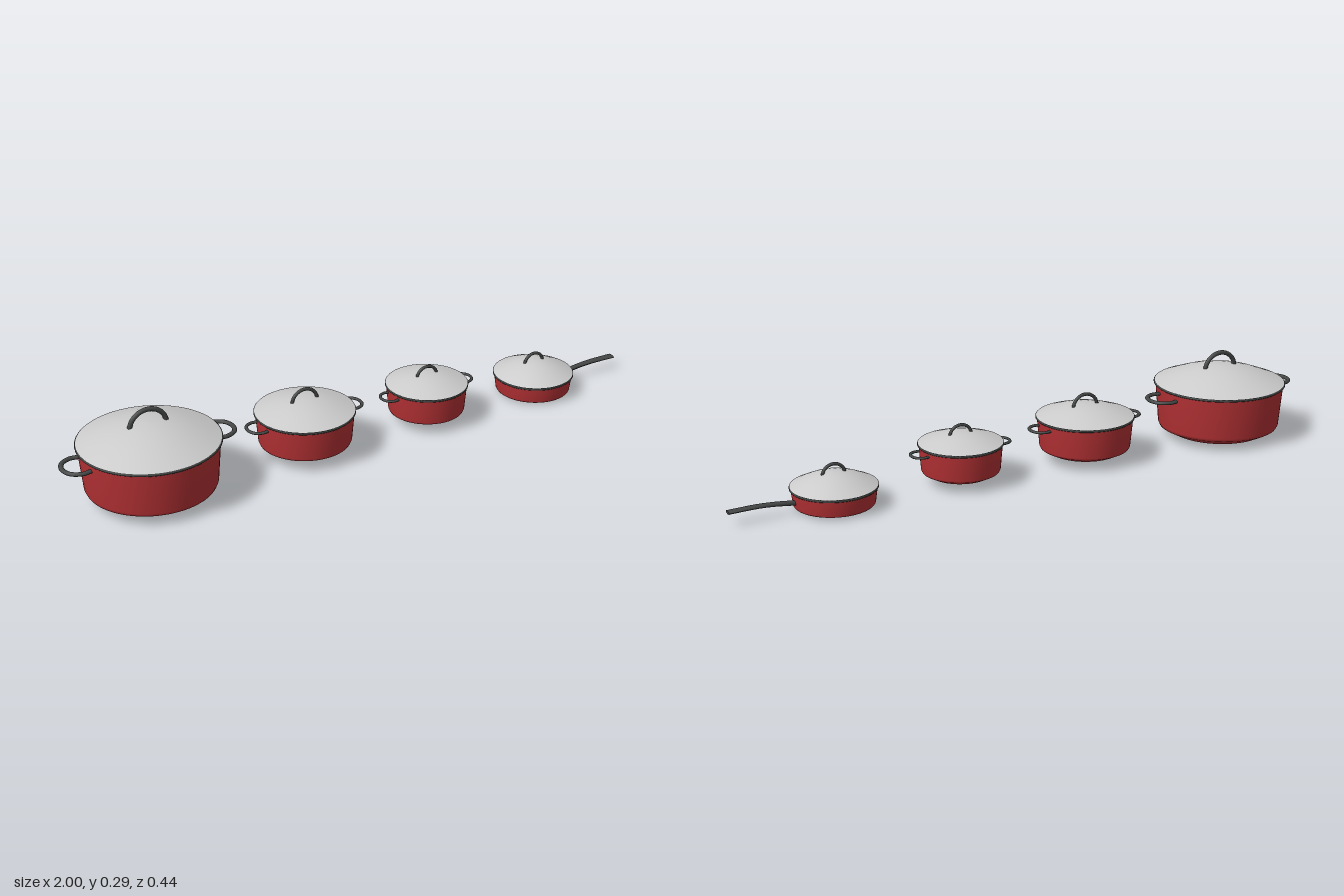
import * as THREE from 'three';

const red = new THREE.MeshStandardMaterial({ color: 0xb03033, side: THREE.DoubleSide });
const grey = new THREE.MeshStandardMaterial({ color: 0xcccccc, side: THREE.DoubleSide });
const dark = new THREE.MeshStandardMaterial({ color: 0x444646 });

function add(parent, name, geometry, material) {
  const mesh = new THREE.Mesh(geometry, material);
  mesh.name = name;
  parent.add(mesh);
  return mesh;
}

const v2 = (x, y) => new THREE.Vector2(x, y);
const v3 = (x, y, z) => new THREE.Vector3(x, y, z);

// Body, rim band, domed lid and arched knob shared by every vessel
function vessel({ name, x, r, bottom, rim, lidTop, archTop, archR, tube }) {
  const g = new THREE.Group();
  g.name = name;
  g.position.x = x;
  const h = rim - bottom;
  const wall = r * 0.03;

  // Hollow body: flat base, sloped foot, slightly flared wall
  const foot = bottom + h * 0.16;
  add(g, 'body', new THREE.LatheGeometry([
    v2(0, bottom), v2(r * 0.71, bottom), v2(r * 0.72, bottom + h * 0.005),
    v2(r * 0.9, foot - h * 0.03), v2(r * 0.92, foot + h * 0.03),
    v2(r * 0.973, rim), v2(r * 0.973 - wall, rim),
    v2(r * 0.89, foot + h * 0.04), v2(r * 0.71, bottom + wall), v2(0, bottom + wall),
  ], 64), red);

  // Dark band between body and lid
  const b = 0.004;
  add(g, 'rimBand', new THREE.LatheGeometry([
    v2(r * 0.95, rim - b), v2(r * 0.99, rim - b), v2(r, rim - b * 0.5),
    v2(r, rim + b * 0.5), v2(r * 0.99, rim + b), v2(r * 0.95, rim + b), v2(r * 0.95, rim - b),
  ], 64), dark);

  // Lid dome, flaring gently towards its edge
  const rise = lidTop - rim - b;
  const dome = [[0.985, 0], [0.82, 0.26], [0.64, 0.53], [0.46, 0.75], [0.28, 0.91], [0.13, 0.98], [0, 1]];
  add(g, 'lid', new THREE.LatheGeometry(
    dome.map(([a, t]) => v2(a * r, rim + b + t * rise)), 64), grey);

  // Arched lid handle
  const low = rim + b + rise * 0.75;
  const arch = [];
  for (let i = 0; i <= 12; i++) {
    const a = Math.PI * i / 12;
    arch.push(v3(Math.cos(a) * (archR - tube), low + Math.sin(a) * (archTop - tube - low), 0));
  }
  add(g, 'lidHandle', new THREE.TubeGeometry(new THREE.CatmullRomCurve3(arch), 36, tube, 10), dark);
  return g;
}

// Pair of horizontal loop handles
function loopHandles(g, { r, reach, half, y, tube }) {
  for (const s of [-1, 1]) {
    const inner = r * 0.92, out = reach - tube, w = half - tube;
    const path = new THREE.CatmullRomCurve3([
      v3(inner, 0, -w * 0.92), v3(inner + (out - inner) * 0.4, 0, -w),
      v3(inner + (out - inner) * 0.83, 0, -w * 0.68), v3(out, 0, 0),
      v3(inner + (out - inner) * 0.83, 0, w * 0.68),
      v3(inner + (out - inner) * 0.4, 0, w), v3(inner, 0, w * 0.92),
    ]);
    const loop = add(g, s < 0 ? 'rightLoopHandle' : 'leftLoopHandle',
      new THREE.TubeGeometry(path, 40, tube, 10), dark);
    loop.scale.y = 0.8;
    loop.position.y = y;
    loop.rotation.y = s < 0 ? Math.PI : 0;
  }
}

// Long pan handle: a rod bent upward, flattened and widened towards its end
function longHandle(g, start, end) {
  const geo = new THREE.CylinderGeometry(1, 1, 1, 16, 20);
  geo.rotateZ(-Math.PI / 2);
  const p = geo.attributes.position;
  for (let i = 0; i < p.count; i++) {
    const t = p.getX(i) + 0.5;
    const y = 0.03 + 0.014 * Math.sin(Math.min(t / 0.7, 1) * Math.PI / 2) - 0.002 * t * t;
    p.setXYZ(i, start + t * (end - start),
      y + p.getY(i) * (0.008 - 0.003 * t),
      p.getZ(i) * (0.008 + 0.007 * t) - 0.003 * t);
  }
  geo.computeVertexNormals();
  add(g, 'longHandle', geo, dark);
}

export function createModel() {
  const model = new THREE.Group();
  model.name = 'cookwareSet';

  const pots = [
    { name: 'largePot', x: -0.72, r: 0.218, bottom: 0.013, rim: 0.18, lidTop: 0.239,
      archTop: 0.288, archR: 0.066, tube: 0.0075, reach: 0.28, half: 0.06, y: 0.155 },
    { name: 'mediumPot', x: -0.2, r: 0.159, bottom: 0.027, rim: 0.143, lidTop: 0.183,
      archTop: 0.221, archR: 0.049, tube: 0.0055, reach: 0.203, half: 0.044, y: 0.125 },
    { name: 'smallPot', x: 0.245, r: 0.134, bottom: 0.026, rim: 0.127, lidTop: 0.161,
      archTop: 0.19, archR: 0.041, tube: 0.005, reach: 0.172, half: 0.038, y: 0.111 },
  ];
  for (const pot of pots) {
    const g = vessel(pot);
    loopHandles(g, pot);
    model.add(g);
  }

  const pan = vessel({ name: 'pan', x: 0.667, r: 0.134, bottom: 0, rim: 0.063, lidTop: 0.108,
    archTop: 0.137, archR: 0.041, tube: 0.005 });
  longHandle(pan, 0.115, 0.333);
  model.add(pan);
  return model;
}
